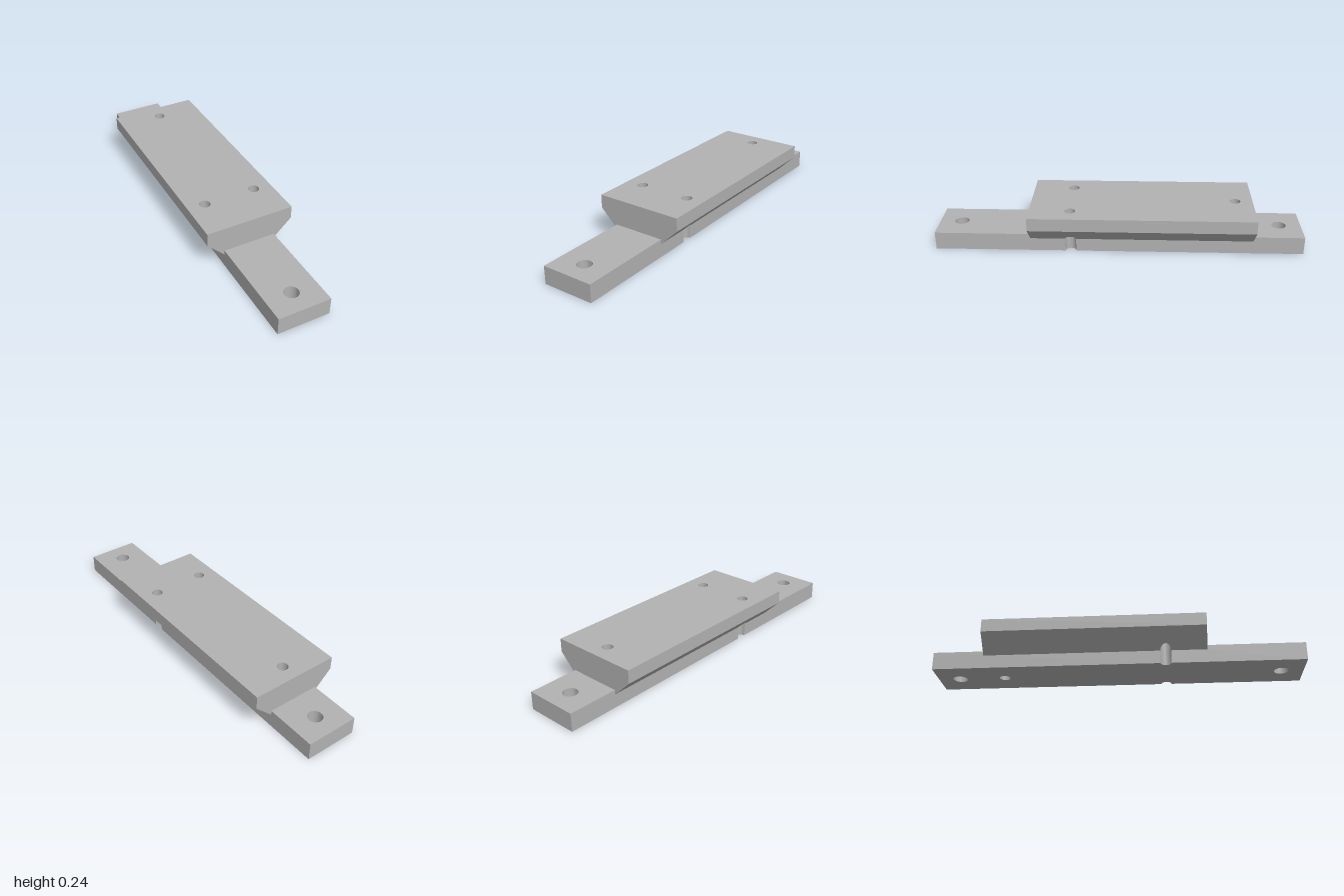
import * as THREE from 'three';
import { toCreasedNormals } from 'three/addons/utils/BufferGeometryUtils.js';

const BAR = 0.144, WIDE = 0.242;            // half widths
const BACK = -0.725, FRONT = 0.48;          // carriage extent in z
const Y_LOW = 0.073, Y_BAR = 0.098, Y_SLAB = 0.17, Y_TOP = 0.242;
const R = 0.029, R_BIG = 0.039;             // hole radii
const PIN_Z = 0.26, REAR_Z = -0.63, END_Z = 0.88;

// Plan shapes are drawn with shape y = -z, then extruded upwards.
function extrudeUp(shape, y0, y1) {
  return new THREE.ExtrudeGeometry(shape, { depth: y1 - y0, bevelEnabled: false, curveSegments: 16 })
    .rotateX(-Math.PI / 2).translate(0, y0, 0);
}

function addHole(shape, x, z, r) {
  const hole = new THREE.Path();
  hole.absarc(x, -z, r, 0, Math.PI * 2, true);
  shape.holes.push(hole);
}

// Narrow strip with a half-round groove in each long side
function groovedStrip(z0, z1) {
  const s = new THREE.Shape();
  s.moveTo(-BAR, -z1);
  s.lineTo(BAR, -z1);
  s.lineTo(BAR, -PIN_Z - R);
  s.absarc(BAR, -PIN_Z, R, -Math.PI / 2, Math.PI / 2, true);
  s.lineTo(BAR, -z0);
  s.lineTo(-BAR, -z0);
  s.lineTo(-BAR, -PIN_Z + R);
  s.absarc(-BAR, -PIN_Z, R, Math.PI / 2, -Math.PI / 2, true);
  s.closePath();
  addHole(s, 0, REAR_Z, R);
  return s;
}

// Sloping flank beside the strip, with the other half of the groove
function flank(side) {
  const s = new THREE.Shape();
  s.moveTo(side * BAR, -FRONT);
  s.lineTo(side * WIDE, -FRONT);
  s.lineTo(side * WIDE, -BACK);
  s.lineTo(side * BAR, -BACK);
  s.lineTo(side * BAR, -PIN_Z + R);
  s.absarc(side * BAR, -PIN_Z, R, Math.PI / 2, -Math.PI / 2, side > 0);
  s.closePath();
  const g = extrudeUp(s, Y_LOW, Y_SLAB);
  const p = g.attributes.position;
  for (let i = 0; i < p.count; i++) {
    if (p.getY(i) > Y_LOW + 0.01) continue;
    const t = (Math.abs(p.getX(i)) - BAR) / (WIDE - BAR);
    p.setY(i, Y_LOW + t * (Y_SLAB - Y_LOW));
  }
  return g;
}

export function createModel() {
  const model = new THREE.Group();
  model.name = 'slideRail';
  const grey = new THREE.MeshStandardMaterial({ color: 0xb2b2b2 });
  grey.name = 'grey';
  const add = (name, geometry, parent) => {
    const mesh = new THREE.Mesh(toCreasedNormals(geometry, 0.6), grey);
    mesh.name = name;
    parent.add(mesh);
  };

  // Long base bar with a mounting hole at each end
  const bar = groovedStrip(-1, 1);
  for (const z of [-END_Z, END_Z]) addHole(bar, 0, z, R_BIG);
  add('baseBar', extrudeUp(bar, 0, Y_BAR), model);

  // Carriage: core, two sloping flanks and a drilled top slab
  const carriage = new THREE.Group();
  carriage.name = 'carriage';
  model.add(carriage);
  add('carriageCore', extrudeUp(groovedStrip(BACK, FRONT), Y_BAR, Y_SLAB), carriage);
  add('leftFlank', flank(1), carriage);
  add('rightFlank', flank(-1), carriage);

  const slab = new THREE.Shape([
    new THREE.Vector2(-WIDE, -FRONT), new THREE.Vector2(WIDE, -FRONT),
    new THREE.Vector2(WIDE, -BACK), new THREE.Vector2(-WIDE, -BACK),
  ]);
  addHole(slab, 0, REAR_Z, R);
  for (const side of [-1, 1]) addHole(slab, side * BAR, PIN_Z, R);
  add('topSlab', extrudeUp(slab, Y_SLAB, Y_TOP), carriage);

  return model;
}
